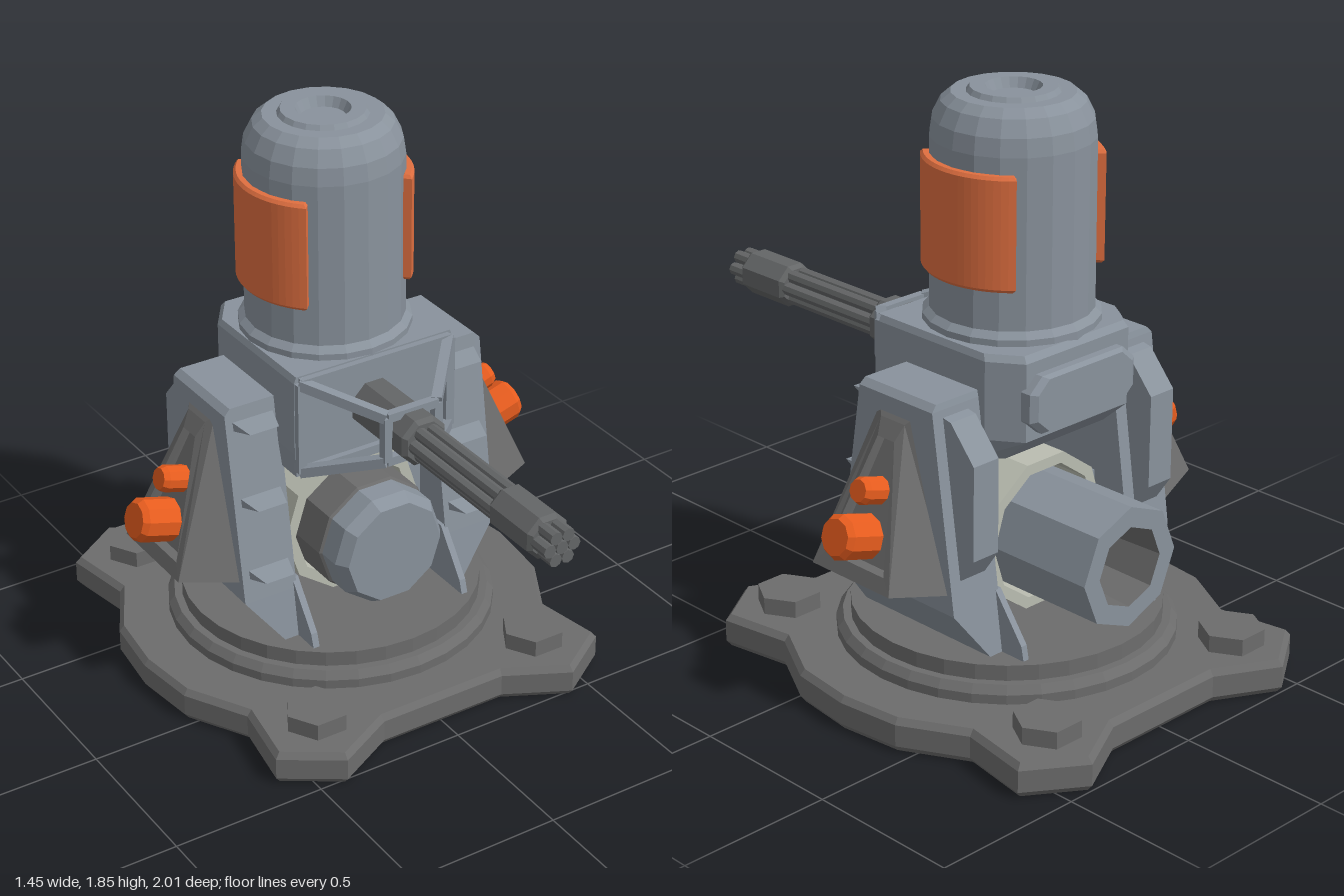
import * as THREE from 'three';
import { ConvexGeometry } from 'three/addons/geometries/ConvexGeometry.js';

const CZ = -0.24; // depth of the turret axis
const UX = -0.012; // the dome sits slightly off centre

const mat = (name, hex) => {
  const m = new THREE.MeshStandardMaterial({ color: hex });
  m.name = name;
  return m;
};

// Give every face its own normal
function flat(geo) {
  const g = geo.index ? geo.toNonIndexed() : geo;
  g.deleteAttribute('uv');
  g.computeVertexNormals();
  return g;
}

// Mirror across x, keeping faces outward
function mirrored(geo) {
  const g = geo.clone().scale(-1, 1, 1);
  const p = g.attributes.position;
  const a = new THREE.Vector3(), b = new THREE.Vector3();
  for (let i = 0; i < p.count; i += 3) {
    a.fromBufferAttribute(p, i + 1);
    b.fromBufferAttribute(p, i + 2);
    p.setXYZ(i + 1, b.x, b.y, b.z);
    p.setXYZ(i + 2, a.x, a.y, a.z);
  }
  g.computeVertexNormals();
  return g;
}

const hull = (pts) => flat(new ConvexGeometry(pts.map((p) => new THREE.Vector3(...p))));

// Convex side profile [z, y] spanning x0..x1
const slab = (zy, x0, x1) => hull(zy.flatMap(([z, y]) => [[x0, y, z], [x1, y, z]]));

// Lathe from [radius, height] pairs, upright or along z
function lathe(profile, n, phase = 0) {
  return flat(new THREE.LatheGeometry(profile.map(([r, y]) => new THREE.Vector2(r, y)), n, phase));
}
const latheZ = (profile, n, phase = 0) => lathe(profile, n, phase).rotateX(Math.PI / 2);

// Flat shape raised upwards from y, with a small bevel kept inside the outline
function raised(shape, y, height, bevel, bevelSize, curveSegments = 10) {
  const g = new THREE.ExtrudeGeometry(shape, {
    depth: height - 2 * bevel, curveSegments, bevelThickness: bevel, bevelSize, bevelOffset: -bevelSize, bevelSegments: 1,
  });
  return flat(g.rotateX(-Math.PI / 2).translate(0, y + bevel, CZ));
}

// Square bar between two points
function bar(a, b, t) {
  const A = new THREE.Vector3(...a), B = new THREE.Vector3(...b);
  const g = new THREE.BoxGeometry(t, t, A.distanceTo(B));
  const m = new THREE.Matrix4().lookAt(B, A, new THREE.Vector3(0, 1, 0)).setPosition(A.add(B).multiplyScalar(0.5));
  return flat(g.applyMatrix4(m));
}

// Skin consecutive four-cornered rings and cap the last one
function loftQuads(rings) {
  const v = [];
  const quad = (a, b, c, d) => v.push(...a, ...b, ...c, ...a, ...c, ...d);
  for (let k = 0; k + 1 < rings.length; k++) {
    for (let i = 0; i < 4; i++) {
      const j = (i + 1) % 4;
      quad(rings[k][i], rings[k][j], rings[k + 1][j], rings[k + 1][i]);
    }
  }
  quad(...rings[rings.length - 1]);
  const g = new THREE.BufferGeometry();
  g.setAttribute('position', new THREE.Float32BufferAttribute(v, 3));
  g.computeVertexNormals();
  return g;
}

export function createModel() {
  const root = new THREE.Group();
  const steel = mat('blue grey steel', 0x89929c);
  const iron = mat('dark grey iron', 0x6c6c6c);
  const gunmetal = mat('gunmetal', 0x646667);
  const orange = mat('bright orange', 0xe65c1e);
  const panelOrange = mat('panel orange', 0xe06f40);
  const pale = mat('pale grey', 0xbabdb1);

  const add = (name, geo, m) => {
    const mesh = new THREE.Mesh(geo, m);
    mesh.name = name;
    root.add(mesh);
  };
  const pair = (name, geo, m) => {
    add(name + 'Left', geo, m);
    add(name + 'Right', mirrored(geo), m);
  };

  // Base plate with four lugs, hollow underneath
  const quarter = [[0.695, 0], [0.67, 0.21], [0.56, 0.41], [0.6, 0.645], [0.42, 0.765], [0.22, 0.66]];
  const half = [...quarter, ...quarter.map(([x, y]) => [-x, y]).reverse()];
  const outline = [...half, ...half.slice(1, -1).map(([x, y]) => [x, -y]).reverse()].map((p) => new THREE.Vector2(...p));
  const lowerPlate = new THREE.Shape(outline);
  const pocket = [[0.51, 0.4], [0.55, 0.62], [0.42, 0.71], [0.26, 0.63], [0.34, 0.54], [0.43, 0.47]];
  for (const sx of [-1, 1]) for (const sy of [-1, 1]) {
    lowerPlate.holes.push(new THREE.Path(pocket.map(([x, y]) => new THREE.Vector2(sx * x, sy * y))));
  }
  add('basePlateUnderside', raised(lowerPlate, 0, 0.09, 0.02, 0.015), iron);
  add('basePlate', raised(new THREE.Shape(outline), 0.05, 0.06, 0.02, 0.015), iron);
  add('turntable', lathe([[0.53, 0.1], [0.53, 0.14], [0.51, 0.165], [0.485, 0.165], [0.485, 0.215], [0, 0.215]], 32)
    .translate(0, 0, CZ), iron);
  for (const z of [-0.81, 0.325]) {
    pair('baseBolt', lathe([[0, 0.01], [0.103, 0.01], [0.103, 0.165], [0, 0.165]], 6, Math.PI / 6)
      .translate(0.405, 0, z), iron);
  }

  // Side arms, narrowing to the feet
  const arm = [];
  for (const [y, x, z0, z1] of [[1.02, 0.445, -0.39, -0.09], [1.0, 0.465, -0.395, -0.087],
    [0.38, 0.465, -0.485, 0.01], [0.21, 0.335, -0.51, 0.035]]) {
    for (const z of [z0, z1]) arm.push([0.28, y, z], [x, y, z]);
  }
  pair('supportArm', hull(arm), steel);
  pair('footGusset', slab([[0.125, 0.21], [0.11, 0.26], [0, 0.41], [-0.48, 0.41], [-0.59, 0.26], [-0.6, 0.21]], 0.268, 0.29), steel);
  pair('armRearRib', slab([[-0.38, 0.98], [-0.43, 0.97], [-0.525, 0.86], [-0.525, 0.56], [-0.47, 0.48]], 0.325, 0.425), steel);
  for (const y of [0.96, 0.71, 0.47]) {
    const z = -0.09 + (1.02 - y) * 0.155;
    pair('armFin', hull([[0.295, y - 0.018, z - 0.02], [0.445, y - 0.018, z - 0.02], [0.295, y + 0.018, z - 0.02],
      [0.445, y + 0.018, z - 0.02], [0.32, y, z + 0.07], [0.42, y, z + 0.07]]), steel);
  }

  // Outer wedge housings with a sunken panel
  const ring = (xb, yb, wb, xt, yt, wt) => [[xb, yb, CZ + wb], [xb, yb, CZ - wb], [xt, yt, CZ - wt], [xt, yt, CZ + wt]];
  pair('wedgeHousing', loftQuads([
    ring(0.455, 0.44, 0.22, 0.455, 0.96, 0.075),
    ring(0.65, 0.48, 0.165, 0.475, 0.935, 0.05),
    ring(0.633, 0.525, 0.125, 0.503, 0.885, 0.035),
    ring(0.605, 0.53, 0.105, 0.478, 0.875, 0.03),
  ]), iron);

  // Lamps on the wedges
  for (const [name, r, len, x, y] of [['largeLamp', 0.07, 0.13, 0.645, 0.618], ['smallLamp', 0.043, 0.12, 0.558, 0.738]]) {
    const h = len / 2;
    const g = lathe([[0, -h], [r, -h], [r, h - 0.018], [r * 0.8, h], [0, h]], 10, Math.PI / 10);
    pair(name, g.rotateZ(-Math.PI / 2 + 0.29).translate(x, y, CZ), orange);
  }

  // Head block with chamfered rear corners
  const plan = [[0.285, 0.03], [0.285, -0.42], [0.215, -0.52]];
  const head = [];
  for (const s of [-1, 1]) {
    for (const [x, z] of plan) head.push([s * x, 0.87, z], [s * x, 1.115, z], [s * x * 0.97, 1.135, z * 0.97]);
    head.push([s * 0.28, 0.79, 0.03], [s * 0.28, 0.79, -0.36], [s * 0.21, 0.79, -0.43]);
  }
  add('headBlock', hull(head).translate(-0.006, 0, 0), steel);
  const rear = [];
  for (const [k, z] of [[1, -0.51], [1, -0.545], [0.9, -0.56]]) {
    for (const sx of [-1, 1]) for (const sy of [-1, 1]) {
      rear.push([sx * 0.22 * k, 0.985 + sy * 0.045 * k, z], [sx * 0.17 * k, 0.985 + sy * 0.09 * k, z]);
    }
  }
  add('headRearCover', hull(rear), steel);

  // Open cage around the gun root
  const corners = (x, y0, y1, z) => [[x - 0.006, y0, z], [x - 0.006, y1, z], [-x - 0.006, y1, z], [-x - 0.006, y0, z]];
  const outer = corners(0.268, 0.81, 1.115, 0.035), inner = corners(0.09, 0.89, 1.04, 0.235);
  for (let i = 0; i < 4; i++) {
    add('cageStrut', bar(outer[i], inner[i], 0.032), steel);
    add('cageOuterFrame', bar(outer[i], outer[(i + 1) % 4], 0.03), steel);
    add('cageInnerFrame', bar(inner[i], inner[(i + 1) % 4], 0.028), steel);
  }

  // Rotary gun
  const GX = -0.007, GY = 0.965;
  add('gunSleeve', latheZ([[0.083, 0], [0.083, 0.3], [0.07, 0.315], [0, 0.315]], 8, Math.PI / 8).translate(GX, GY, 0), gunmetal);
  add('gunClamp', latheZ([[0, 0.73], [0.062, 0.73], [0.074, 0.745], [0.074, 0.925], [0.062, 0.94], [0, 0.94]], 8, Math.PI / 8)
    .translate(GX, GY, 0), gunmetal);
  for (let i = 0; i < 7; i++) {
    const a = (i * Math.PI) / 3, r = i < 6 ? 0.042 : 0;
    add('gunBarrel', latheZ([[0.021, 0.28], [0.021, 1], [0, 1]], 8)
      .translate(GX + r * Math.cos(a), GY + r * Math.sin(a), 0), gunmetal);
  }

  // Domed radar housing
  add('dome', lathe([[0.27, 1.12], [0.27, 1.155], [0.25, 1.175], [0.248, 1.7], [0.24, 1.755], [0.215, 1.805], [0.185, 1.83],
    [0.14, 1.83], [0.13, 1.845], [0.085, 1.845], [0.07, 1.815], [0, 1.815]], 20).translate(UX, 0, CZ), steel);
  const A = 0.82;
  for (const [name, turn] of [['domePanelLeft', 0], ['domePanelRight', Math.PI]]) {
    const sector = new THREE.Shape();
    sector.absarc(0, 0, 0.272, turn - A, turn + A, false);
    sector.absarc(0, 0, 0.238, turn + A, turn - A, true);
    add(name, raised(sector, 1.3, 0.35, 0.01, 0.008).translate(UX, 0, 0), panelOrange);
  }

  // Lower drum, its dark band and hollow rear end
  const DY = 0.48, P = Math.PI / 10;
  add('drumFront', latheZ([[0.195, -0.02], [0.195, 0.1], [0.17, 0.14], [0, 0.14]], 10, P).translate(0, DY, 0), steel);
  add('drumBand', latheZ([[0.19, -0.14], [0.203, -0.13], [0.203, 0.02], [0.19, 0.03]], 10, P).translate(0, DY, 0), iron);
  add('drumRear', latheZ([[0.13, -0.75], [0.195, -0.75], [0.195, -0.12]], 8).translate(0, DY, 0), steel);
  add('drumBore', latheZ([[0, -0.56], [0.12, -0.56], [0.13, -0.75]], 8).translate(0, DY, 0), iron);

  // Pale cradle ring and its side mounts
  add('cradleRing', latheZ([[0.214, -0.1], [0.214, -0.4], [0.25, -0.4], [0.25, -0.1], [0.214, -0.1]], 10, P)
    .translate(0, DY, 0), pale);
  pair('cradleMount', flat(new THREE.BoxGeometry(0.07, 0.12, 0.2).translate(0.255, 0.515, CZ)), steel);

  return root;
}
